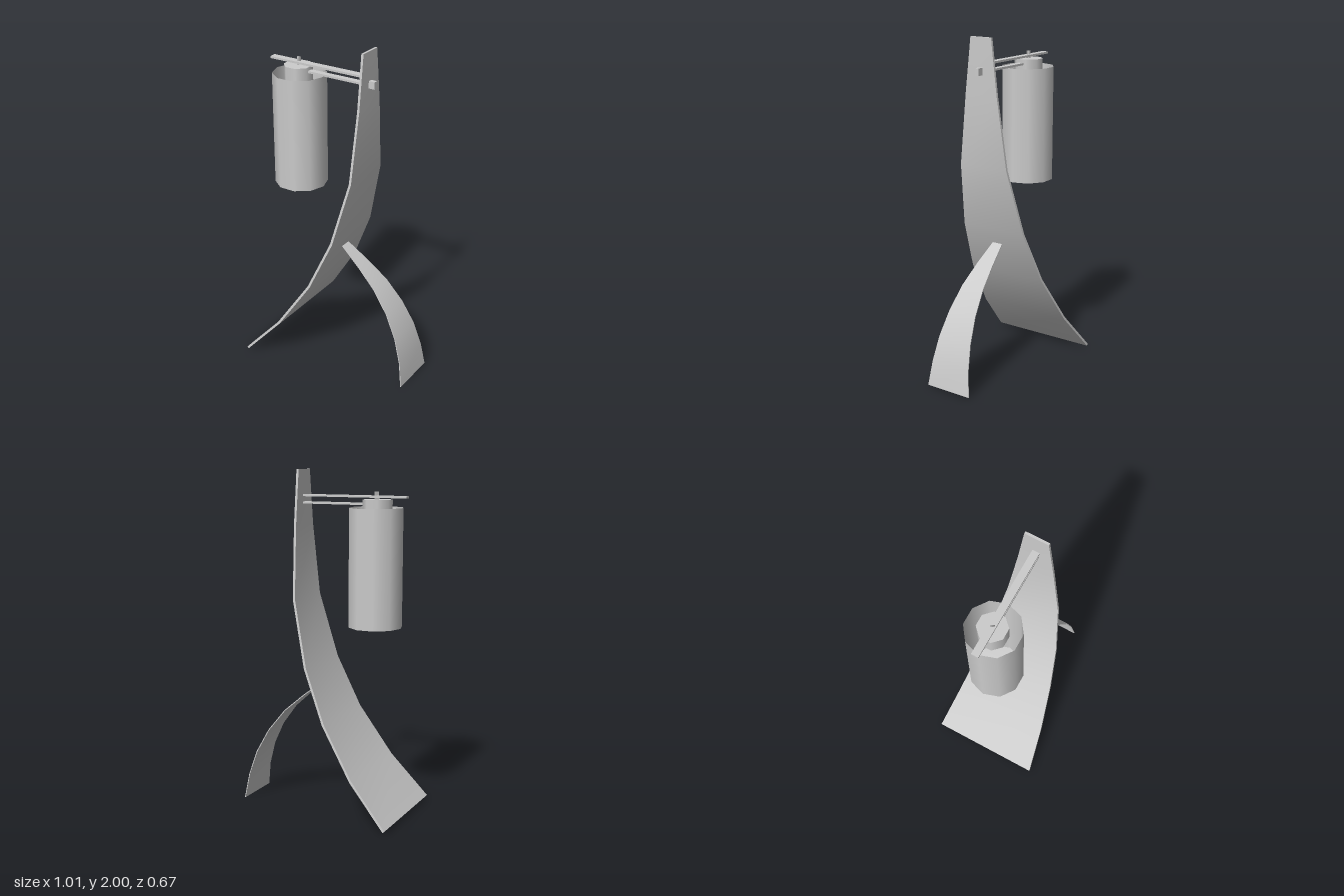
import * as THREE from 'three';
import { toCreasedNormals } from 'three/addons/utils/BufferGeometryUtils.js';

const material = new THREE.MeshStandardMaterial({ color: 0xcccccc });
const thinMaterial = new THREE.MeshStandardMaterial({ color: 0xcccccc, side: THREE.DoubleSide });

// Curved, tapering board: stations are [x, y, halfWidth] from bottom to top.
function board(stations, thickness) {
  const pos = [], index = [], n = stations.length, h = thickness / 2;
  stations.forEach(([x, y, w], i) => {
    const a = stations[Math.max(i - 1, 0)], b = stations[Math.min(i + 1, n - 1)];
    const t = new THREE.Vector2(b[0] - a[0], b[1] - a[1]).normalize();
    for (const [s, z] of [[1, 1], [1, -1], [-1, -1], [-1, 1]]) {
      pos.push(x + s * h * t.y, y - s * h * t.x, z * w);
    }
  });
  for (let i = 0; i < n - 1; i++) {
    for (let k = 0; k < 4; k++) {
      const a = i * 4 + k, b = i * 4 + (k + 1) % 4;
      index.push(a, b, b + 4, a, b + 4, a + 4);
    }
  }
  const e = (n - 1) * 4;
  index.push(0, 2, 1, 0, 3, 2, e, e + 1, e + 2, e, e + 2, e + 3);
  const g = new THREE.BufferGeometry();
  g.setAttribute('position', new THREE.Float32BufferAttribute(pos, 3));
  g.setIndex(index);
  return toCreasedNormals(g, 0.8);
}

export function createModel() {
  const model = new THREE.Group();
  const add = (name, geometry, x = 0, y = 0, z = 0, mat = material) => {
    const mesh = new THREE.Mesh(geometry, mat);
    mesh.name = name;
    mesh.position.set(x, y, z);
    model.add(mesh);
    return mesh;
  };

  // Curved main board and its bracing leg
  add('mainBoard', board([
    [-0.504, 0.015, 0.335], [-0.28, 0.263, 0.297], [-0.085, 0.56, 0.252], [0.05, 0.87, 0.211],
    [0.146, 1.26, 0.16], [0.164, 1.68, 0.107], [0.165, 2.0, 0.07],
  ], 0.014));
  add('braceLeg', board([
    [0.503, 0.001, 0.147], [0.48, 0.15, 0.129], [0.435, 0.295, 0.112], [0.362, 0.435, 0.093],
    [0.26, 0.565, 0.074], [0.14, 0.67, 0.054], [0.01, 0.77, 0.033],
  ], 0.005));

  // Two arms and the peg that holds them behind the board
  add('upperArm', new THREE.BoxGeometry(0.652, 0.012, 0.042), -0.16, 1.851, 0);
  add('lowerArm', new THREE.BoxGeometry(0.4, 0.012, 0.036), -0.035, 1.809, 0);
  add('peg', new THREE.BoxGeometry(0.045, 0.042, 0.026), 0.186, 1.811, 0);

  // Open ten-sided shade
  add('shade', new THREE.CylinderGeometry(0.157, 0.157, 0.68, 10, 1, true).rotateY(Math.PI / 2),
    -0.298, 1.45, 0, thinMaterial);

  // Eight-sided lamp holder with its fixing pin
  add('lampHolder', new THREE.CylinderGeometry(0.085, 0.085, 0.115, 8).rotateY(Math.PI / 8),
    -0.305, 1.778, 0);
  add('pin', new THREE.CylinderGeometry(0.015, 0.015, 0.045, 3), -0.303, 1.857, 0);

  return model;
}
